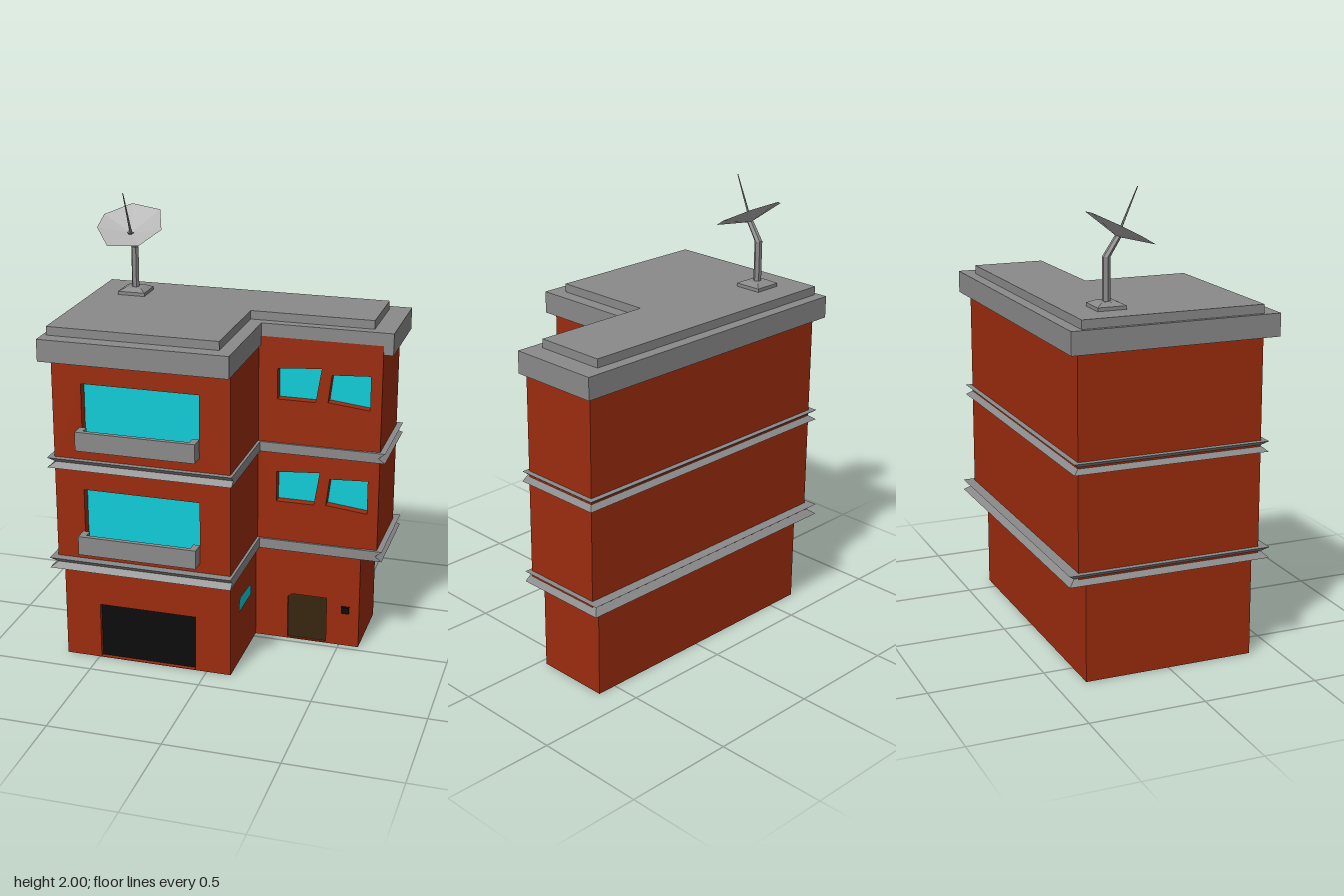
import * as THREE from 'three';

const mat = (name, color) => {
  const m = new THREE.MeshStandardMaterial({ color, side: THREE.DoubleSide, flatShading: true });
  m.name = name;
  return m;
};

export function createModel() {
  const root = new THREE.Group();
  root.name = 'apartmentBuilding';
  const brick = mat('brickRed', 0x9c2c0e), concrete = mat('concreteGrey', 0x8a8a8a);
  const glass = mat('cyanGlass', 0x10ccd8), black = mat('black', 0x0b0b0b);
  const wood = mat('darkWood', 0x38240f), metal = mat('paleMetal', 0xb4b4b4);

  const add = (name, geo, m, parent = root) => {
    const mesh = new THREE.Mesh(geo, m);
    mesh.name = name;
    parent.add(mesh);
    return mesh;
  };
  const box = (name, m, x0, x1, y0, y1, z0, z1) => {
    const g = new THREE.BoxGeometry(x1 - x0, y1 - y0, z1 - z0);
    return add(name, g.translate((x0 + x1) / 2, (y0 + y1) / 2, (z0 + z1) / 2), m);
  };
  // L-shaped footprint, starting at the front left corner
  const footprint = (x0, x1, z0, z1, nx, nz) =>
    [[x0, z1], [nx, z1], [nx, nz], [x1, nz], [x1, z0], [x0, z0]];
  const path = pts => pts.map(p => new THREE.Vector2(p[0], p[1]));

  // Skins a series of closed rings of [x, y, z] points
  const loft = rings => {
    const pos = [];
    for (let r = 0; r + 1 < rings.length; r++) {
      const lo = rings[r], hi = rings[r + 1], n = lo.length;
      for (let i = 0; i < n; i++) {
        const j = (i + 1) % n;
        pos.push(...lo[i], ...lo[j], ...hi[j], ...lo[i], ...hi[j], ...hi[i]);
      }
    }
    const g = new THREE.BufferGeometry();
    g.setAttribute('position', new THREE.Float32BufferAttribute(pos, 3));
    g.computeVertexNormals();
    return g;
  };
  const level = (plan, y) => plan.map(([x, z]) => [x, y, z]);
  const slab = (name, plan, y0, y1) => {
    const g = new THREE.ExtrudeGeometry(new THREE.Shape(path(plan.map(([x, z]) => [x, -z]))),
      { depth: y1 - y0, bevelEnabled: false });
    add(name, g.rotateX(-Math.PI / 2).translate(0, y0, 0), concrete);
  };

  // Front-facing wall with recessed openings: { name, pts, m, depth }
  const frontWall = (name, x0, x1, y0, y1, z, openings) => {
    const shape = new THREE.Shape(path([[x0, y0], [x1, y0], [x1, y1], [x0, y1]]));
    for (const o of openings) {
      shape.holes.push(new THREE.Path(path(o.pts)));
      const ring = d => o.pts.map(([x, y]) => [x, y, z - d]);
      add(o.name + 'Reveal', loft([ring(o.depth), ring(0)]), brick);
      add(o.name, new THREE.ShapeGeometry(new THREE.Shape(path(o.pts))).translate(0, 0, z - o.depth), o.m);
    }
    add(name, new THREE.ShapeGeometry(shape).translate(0, 0, z), brick);
  };
  const rect = (x0, x1, y0, y1) => [[x0, y0], [x1, y0], [x1, y1], [x0, y1]];

  // One storey: two pierced front walls, and plain walls on the other sides
  const storey = (name, plan, y0, y1, mainOpenings, wingOpenings) => {
    frontWall(name + 'MainFront', plan[0][0], plan[1][0], y0, y1, plan[0][1], mainOpenings);
    frontWall(name + 'WingFront', plan[2][0], plan[3][0], y0, y1, plan[2][1], wingOpenings);
    for (const i of [1, 3, 4, 5]) {
      const a = plan[i], b = plan[(i + 1) % 6];
      const g = new THREE.PlaneGeometry(Math.hypot(b[0] - a[0], b[1] - a[1]), y1 - y0);
      g.rotateY(Math.atan2(-(b[1] - a[1]), b[0] - a[0]));
      add(name + 'Wall', g.translate((a[0] + b[0]) / 2, (y0 + y1) / 2, (a[1] + b[1]) / 2), brick);
    }
  };

  // Ground floor with garage, door, doorbell and side window
  const ground = footprint(-0.65, 0.59, -0.37, 0.38, 0.11, -0.03);
  storey('ground', ground, 0, 0.46,
    [{ name: 'garageDoor', pts: rect(-0.49, -0.05, 0.002, 0.26), m: black, depth: 0.02 }],
    [{ name: 'frontDoor', pts: [[0.26, 0.005], [0.44, 0.005], [0.44, 0.225], [0.28, 0.225], [0.26, 0.21]], m: wood, depth: 0.01 }]);
  box('doorbell', black, 0.51, 0.545, 0.165, 0.195, -0.03, -0.015);
  const sideWindow = new THREE.ShapeGeometry(new THREE.Shape(path(
    [[-0.27, 0.25], [-0.075, 0.25], [-0.07, 0.285], [-0.09, 0.305], [-0.25, 0.315], [-0.27, 0.28]])));
  add('sideWindow', sideWindow.rotateY(Math.PI / 2).translate(0.115, 0, 0), glass);

  // Two upper floors with windows and balconies
  const upper = footprint(-0.67, 0.66, -0.41, 0.40, 0.115, -0.034);
  [0, 0.48].forEach((dy, i) => {
    const lift = pts => pts.map(([x, y]) => [x, y + dy]);
    const win = (name, pts) => ({ name, pts: lift(pts), m: glass, depth: 0.04 });
    storey('upper' + (i + 1), upper, i ? 0.925 : 0.46, i ? 1.43 : 0.925,
      [win('balconyWindow', rect(-0.54, -0.02, 0.56, 0.81))],
      [win('leftWindow', [[0.2, 0.67], [0.37, 0.67], [0.395, 0.825], [0.2, 0.81]]),
        win('rightWindow', [[0.425, 0.675], [0.61, 0.655], [0.61, 0.81], [0.44, 0.8]])]);
    const y0 = 0.53 + dy, y1 = 0.615 + dy;
    box('balconyFront', concrete, -0.55, -0.02, y0, y1, 0.44, 0.462);
    box('balconyFloor', concrete, -0.55, -0.02, y0, y0 + 0.02, 0.4, 0.44);
    box('balconyEnd', concrete, -0.55, -0.52, y0, y1, 0.4, 0.44);
    box('balconyEnd', concrete, -0.05, -0.02, y0, y1, 0.4, 0.44);
  });

  // Grooved ledges between floors, flat inside the notch
  const ledge = (name, y0, y1, z0, z1) => {
    const outer = footprint(-0.695, 0.685, z0, z1, 0.127, -0.02);
    const groove = footprint(-0.665, 0.655, z0 + 0.03, z1 - 0.025, 0.127, -0.02);
    add(name, loft([level(ground, y0), level(outer, y0), level(groove, (y0 + y1) / 2),
      level(outer, y1), level(ground, y1)]), concrete);
  };
  ledge('lowerLedge', 0.44, 0.487, -0.457, 0.44);
  ledge('upperLedge', 0.905, 0.95, -0.435, 0.425);

  // Stepped roof
  slab('roofSlab', footprint(-0.708, 0.702, -0.45, 0.457, 0.125, -0.036), 1.39, 1.487);
  slab('roofTop', footprint(-0.69, 0.61, -0.4, 0.39, 0.065, -0.08), 1.487, 1.525);

  // Satellite dish on its bent post
  const dish = new THREE.Group();
  dish.name = 'satelliteDish';
  root.add(dish);
  const cx = -0.51;
  const foot = (s, y) => level([[-s, s], [s, s], [s, -s], [-s, -s]].map(([x, z]) => [cx + x, z - 0.222]), y);
  add('dishBase', loft([foot(0.062, 1.525), foot(0.062, 1.54), foot(0.035, 1.553), foot(0, 1.553)]), concrete, dish);
  const hexRing = (r, y, z) => Array.from({ length: 6 }, (_, i) =>
    [cx + r * Math.cos(i * Math.PI / 3), y, z + r * Math.sin(i * Math.PI / 3)]);
  add('dishPost', loft([hexRing(0.017, 1.55, -0.222), hexRing(0.017, 1.73, -0.222),
    hexRing(0.015, 1.81, -0.17)]), concrete, dish);
  const rim = [[-0.57, -0.035], [-0.43, -0.05], [-0.36, -0.15], [-0.405, -0.27],
    [-0.545, -0.296], [-0.65, -0.22], [-0.655, -0.14]].map(([x, z]) => [x, 1.775 - (z + 0.035) * 0.52, z]);
  add('dishBowl', loft([rim.map(() => [cx, 1.805, -0.175]), rim]), metal, dish);
  const from = new THREE.Vector3(cx, 1.805, -0.175), to = new THREE.Vector3(cx - 0.003, 2, -0.09);
  const rod = add('dishAntenna', new THREE.CylinderGeometry(0.002, 0.006, from.distanceTo(to), 5), concrete, dish);
  rod.position.copy(from).lerp(to, 0.5);
  rod.quaternion.setFromUnitVectors(new THREE.Vector3(0, 1, 0), to.clone().sub(from).normalize());

  return root;
}
